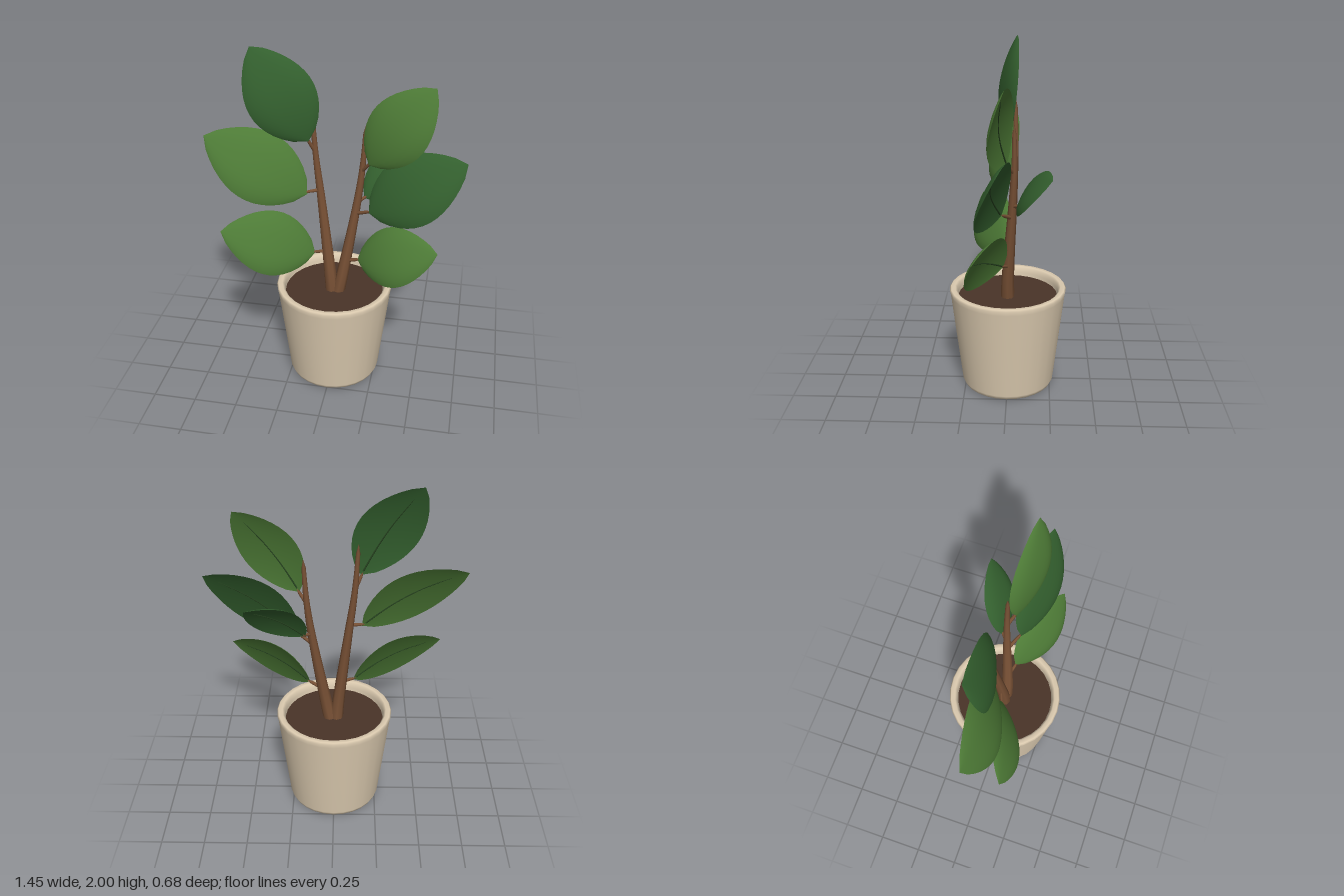
import * as THREE from 'three';

const V = (a) => new THREE.Vector3(...a);
const mat = (color) => new THREE.MeshStandardMaterial({ color, roughness: 0.85 });

function add(group, name, geometry, material) {
  const mesh = new THREE.Mesh(geometry, material);
  mesh.name = name;
  group.add(mesh);
  return mesh;
}

// Tube that narrows from r0 to r1 and closes at its end
function taperedTube(points, r0, r1, rings, sides) {
  const curve = new THREE.CatmullRomCurve3(points.map(V));
  const geo = new THREE.TubeGeometry(curve, rings, 1, sides);
  const pos = geo.attributes.position;
  const p = new THREE.Vector3();
  for (let i = 0; i <= rings; i++) {
    const c = curve.getPointAt(i / rings);
    const r = i === rings ? 0.001 : THREE.MathUtils.lerp(r0, r1, i / rings);
    for (let j = 0; j <= sides; j++) {
      const k = i * (sides + 1) + j;
      p.fromBufferAttribute(pos, k).sub(c).multiplyScalar(r).add(c);
      pos.setXYZ(k, p.x, p.y, p.z);
    }
  }
  return geo;
}

// Leaf blade in its own frame: x across, y from base to tip, z out of the upper face
const arch = (t, length) => 0.28 * length * t * (1 - t);

function bladeGeometry(length, halfWidth) {
  const rows = 14, cols = 12, stride = cols + 1;
  const positions = [], index = [];
  for (const top of [true, false]) {
    const start = positions.length / 3;
    for (let i = 0; i <= rows; i++) {
      const t = i / rows;
      const w = Math.max(0.004, Math.pow(Math.max(0, Math.sin(Math.PI * Math.pow(t, 0.92))), 0.75));
      for (let j = 0; j <= cols; j++) {
        const s = Math.sin((j / cols - 0.5) * Math.PI);
        const dome = -0.012 * s * s * w;
        const thick = top ? 0.024 * (1 - Math.pow(s, 4)) * w : 0;
        positions.push(s * w * halfWidth, t * length, arch(t, length) + dome + thick);
      }
    }
    for (let i = 0; i < rows; i++) {
      for (let j = 0; j < cols; j++) {
        const a = start + i * stride + j, b = a + 1, c = a + stride, d = c + 1;
        if (top) index.push(a, b, c, b, d, c);
        else index.push(a, c, b, b, c, d);
      }
    }
  }
  const geo = new THREE.BufferGeometry();
  geo.setAttribute('position', new THREE.Float32BufferAttribute(positions, 3));
  geo.setIndex(index);
  geo.computeVertexNormals();
  return geo;
}

// Leaf with blade, underside midrib and stalk
function makeLeaf({ name, stem, base, tip, half, color }, ribMat, stemMat) {
  const leaf = new THREE.Group();
  leaf.name = name;
  const axis = V(tip).sub(V(base));
  const length = axis.length();
  axis.normalize();

  // Upper face looks forward and up, square to the leaf's axis
  const normal = new THREE.Vector3(0, 0.53, 0.85);
  normal.addScaledVector(axis, -normal.dot(axis)).normalize();
  const across = new THREE.Vector3().crossVectors(axis, normal);

  const frame = new THREE.Group();
  frame.name = name + 'Blade';
  frame.position.copy(V(base));
  frame.quaternion.setFromRotationMatrix(new THREE.Matrix4().makeBasis(across, axis, normal));
  add(frame, 'blade', bladeGeometry(length, half), color);
  const ribPoints = [0.04, 0.3, 0.55, 0.85].map((t) => [0, t * length, arch(t, length) - 0.001]);
  add(frame, 'midrib', taperedTube(ribPoints, 0.005, 0.002, 10, 5), ribMat);
  leaf.add(frame);

  const stalkEnd = V(base).addScaledVector(axis, 0.02).toArray();
  add(leaf, 'leafStalk', taperedTube([stem, stalkEnd], 0.012, 0.008, 4, 6), stemMat);
  return leaf;
}

export function createModel() {
  const plant = new THREE.Group();
  plant.name = 'pottedPlant';
  const potMat = mat(0xdccbb0), soilMat = mat(0x4a3428), stemMat = mat(0x7a5236);
  const light = mat(0x4d7a36), dark = mat(0x335f2e), ribMat = mat(0x26421f);

  // Pot with bevelled foot and rounded rim
  const profile = [[0, 0], [0.245, 0], [0.262, 0.008], [0.272, 0.03], [0.335, 0.575], [0.34, 0.6],
    [0.332, 0.61], [0.308, 0.61], [0.297, 0.6], [0.292, 0.575], [0.285, 0.52]];
  add(plant, 'pot', new THREE.LatheGeometry(profile.map((p) => new THREE.Vector2(...p)), 28), potMat);

  // Soil
  const soil = add(plant, 'soil', new THREE.CylinderGeometry(0.29, 0.28, 0.04, 28), soilMat);
  soil.position.y = 0.535;

  // Two stems
  add(plant, 'leftStem', taperedTube(
    [[0.055, 0.5, 0], [0.035, 0.66, 0], [0.125, 1.14, -0.03], [0.15, 1.36, -0.04], [0.163, 1.6, -0.04]]
      .map((p, i) => (i === 0 ? [0.015, 0.5, 0] : i === 1 ? [0.047, 0.66, 0] : p)),
    0.04, 0.01, 24, 8), stemMat);
  add(plant, 'rightStem', taperedTube(
    [[-0.01, 0.5, 0], [-0.024, 0.66, 0], [-0.082, 1.16, -0.03], [-0.113, 1.42, -0.04], [-0.13, 1.69, -0.04]],
    0.04, 0.01, 24, 8), stemMat);

  // Leaves
  const leaves = [
    { name: 'topRightLeaf', stem: [-0.115, 1.43, -0.04], base: [-0.145, 1.5, -0.01], tip: [-0.46, 2.0, -0.04], half: 0.19, color: dark },
    { name: 'middleRightLeaf', stem: [-0.085, 1.2, -0.03], base: [-0.155, 1.18, 0], tip: [-0.73, 1.5, 0.02], half: 0.2, color: light },
    { name: 'lowerRightLeaf', stem: [-0.04, 0.81, -0.01], base: [-0.11, 0.81, 0.02], tip: [-0.62, 0.99, 0.18], half: 0.185, color: light },
    { name: 'topLeftLeaf', stem: [0.15, 1.34, -0.035], base: [0.19, 1.39, 0], tip: [0.53, 1.85, 0], half: 0.175, color: light },
    { name: 'middleLeftLeaf', stem: [0.115, 1.07, -0.025], base: [0.2, 1.11, 0.03], tip: [0.72, 1.46, 0.04], half: 0.195, color: dark },
    { name: 'lowerLeftLeaf', stem: [0.065, 0.76, -0.005], base: [0.14, 0.79, 0.02], tip: [0.6, 0.97, 0.17], half: 0.17, color: light },
    { name: 'backLeftLeaf', stem: [0.125, 1.14, -0.03], base: [0.16, 1.15, -0.07], tip: [0.47, 1.39, -0.24], half: 0.135, color: dark },
  ];
  for (const leaf of leaves) plant.add(makeLeaf(leaf, ribMat, stemMat));

  return plant;
}
